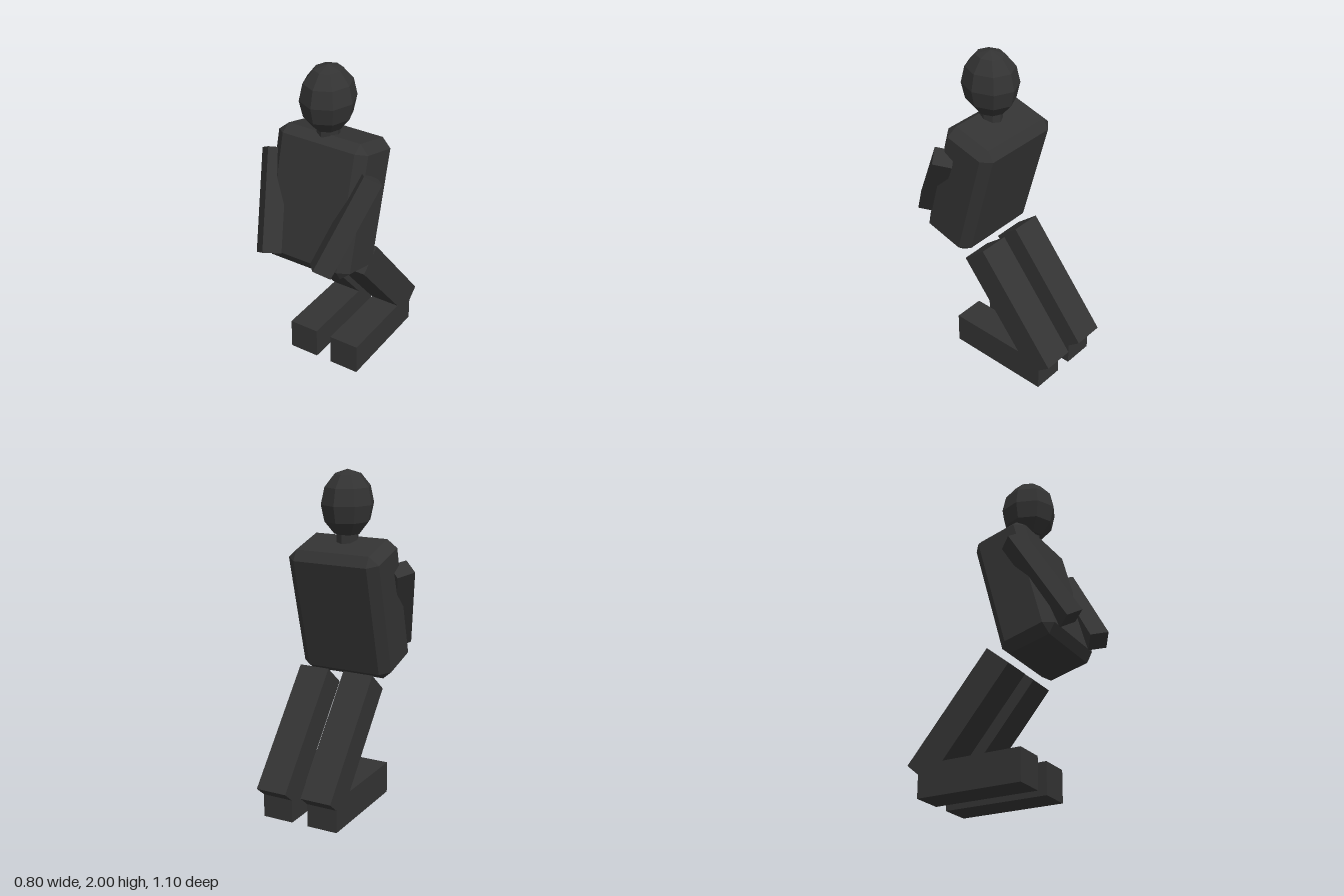
import * as THREE from 'three';
import { ConvexGeometry } from 'three/addons/geometries/ConvexGeometry.js';

const charcoal = new THREE.MeshStandardMaterial({ color: 0x333333, flatShading: true });
charcoal.name = 'charcoal';

function part(name, geometry, parent) {
  const mesh = new THREE.Mesh(geometry, charcoal);
  mesh.name = name;
  parent.add(mesh);
  return mesh;
}

// Box with flat cut edges and triangular corners; h = half sizes, c = cut per axis
function chamferedBox(h, c) {
  const points = [];
  for (const sx of [-1, 1]) for (const sy of [-1, 1]) for (const sz of [-1, 1]) {
    const s = [sx, sy, sz];
    for (let full = 0; full < 3; full++) {
      points.push(new THREE.Vector3(...s.map((v, i) => v * (i === full ? h[i] : h[i] - c[i]))));
    }
  }
  return new ConvexGeometry(points);
}

export function createModel() {
  const model = new THREE.Group();
  model.name = 'kneelingFigure';

  // Head and neck
  const head = part('head', new THREE.SphereGeometry(1, 8, 6), model);
  head.scale.set(0.157, 0.2, 0.175);
  head.position.set(0, 1.8, 0.114);
  const neck = part('neck', new THREE.CylinderGeometry(1, 1, 0.17, 8), model);
  neck.scale.set(0.063, 1, 0.074);
  neck.position.set(0, 1.56, 0.114);

  // Torso, leaning back
  const torso = part('torso', chamferedBox([0.296, 0.403, 0.174], [0.059, 0.052, 0.05]), model);
  torso.position.set(0, 1.18, 0.144);
  torso.rotation.x = THREE.MathUtils.degToRad(-15);

  for (const side of [1, -1]) {
    const label = side > 0 ? 'left' : 'right';

    // Arm, reaching forward, down and inward
    const arm = part(label + 'Arm', new THREE.BoxGeometry(0.114, 0.606, 0.114), model);
    const up = new THREE.Vector3(0.243 * side, 0.842, -0.481).normalize();
    const out = new THREE.Vector3(0.08 * side, -0.054, -0.053);
    out.addScaledVector(up, -out.dot(up)).normalize();
    const front = new THREE.Vector3().crossVectors(out, up);
    arm.quaternion.setFromRotationMatrix(new THREE.Matrix4().makeBasis(out, up, front));
    arm.position.set(0.25 * side, 1.171, 0.33);

    // Thigh, sloping back to the knee joint
    const thigh = part(label + 'UpperLeg', new THREE.BoxGeometry(0.192, 0.807, 0.186), model);
    thigh.position.set(0.147 * side, 0.452, -0.22);
    thigh.rotation.x = THREE.MathUtils.degToRad(40);

    // Lower leg, flat on the ground
    const shin = part(label + 'LowerLeg', new THREE.BoxGeometry(0.192, 0.196, 0.662), model);
    shin.position.set(0.147 * side, 0.098, -0.144);
  }
  return model;
}
